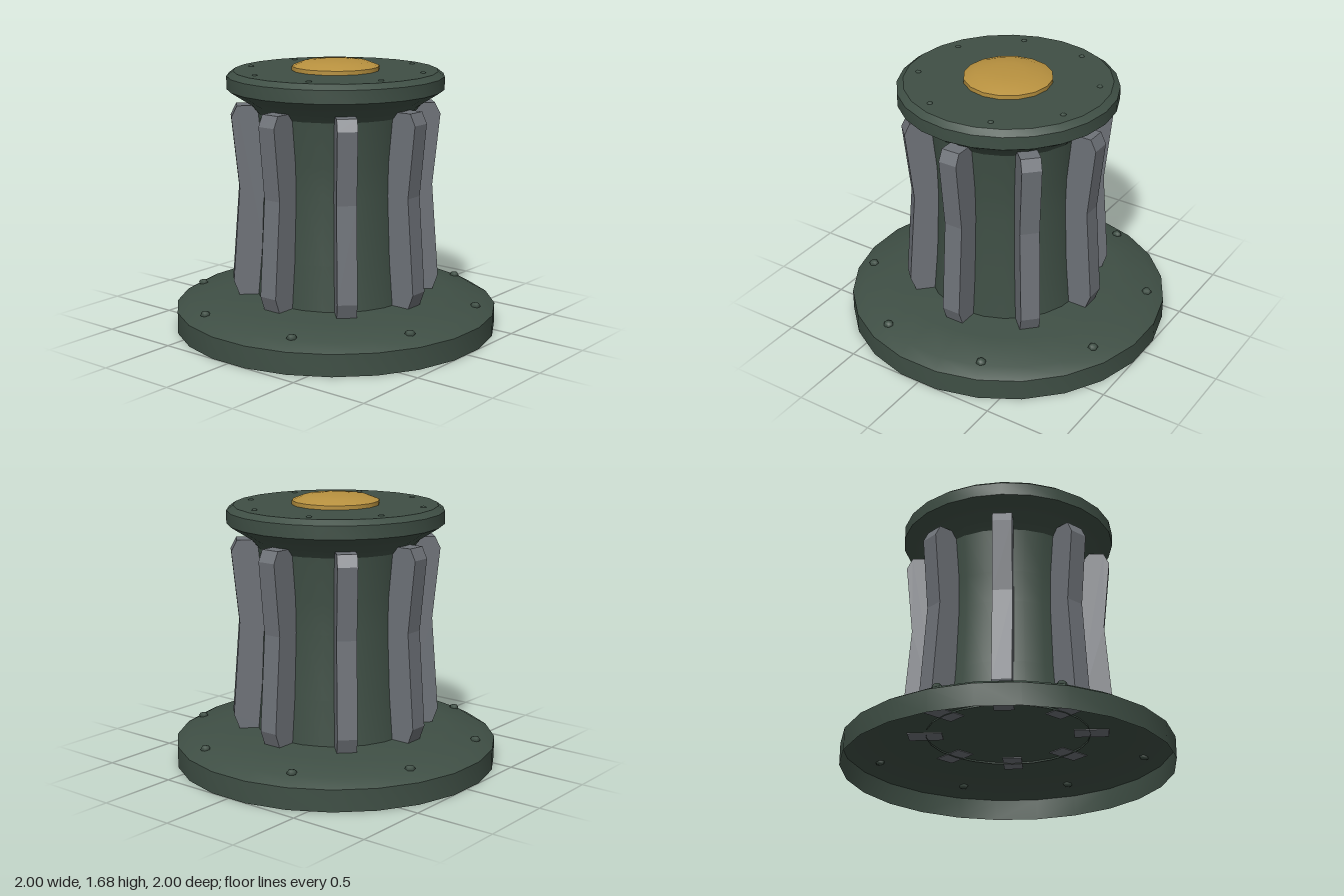
import * as THREE from 'three';
import { toCreasedNormals } from 'three/addons/utils/BufferGeometryUtils.js';

const green = new THREE.MeshStandardMaterial({ color: 0x3f4f45, side: THREE.DoubleSide });
green.name = 'dark green iron';
const grey = new THREE.MeshStandardMaterial({ color: 0x6e7278 });
grey.name = 'grey steel';
const gold = new THREE.MeshStandardMaterial({ color: 0xb8913f });
gold.name = 'brass';

// Turned part from [radius, height] points, listed bottom to top
function turned(name, points, sides, material, turn = 0) {
  const profile = points.map(([r, y]) => new THREE.Vector2(r, y));
  const geometry = toCreasedNormals(new THREE.LatheGeometry(profile, sides), 0.55);
  const mesh = new THREE.Mesh(geometry, material);
  mesh.name = name;
  mesh.rotation.y = turn;
  return mesh;
}

// Eight copies around the axis
function ring(name, geometry, material, radius, y, offset) {
  const group = new THREE.Group();
  group.name = name + 's';
  for (let i = 0; i < 8; i++) {
    const angle = offset + (i * Math.PI) / 4;
    const mesh = new THREE.Mesh(geometry, material);
    mesh.name = name;
    mesh.position.set(Math.cos(angle) * radius, y, -Math.sin(angle) * radius);
    mesh.rotation.y = angle;
    group.add(mesh);
  }
  return group;
}

export function createModel() {
  const model = new THREE.Group();
  model.name = 'capstan';

  // Hollow flared base, open underneath
  model.add(turned('base', [[1.008, 0], [1.008, 0.135], [0.93, 0.178], [0.71, 0.22], [0, 0.222]],
    24, green, Math.PI / 24));

  // Slightly waisted drum
  model.add(turned('drum', [[0.5, 0.21], [0.475, 0.5], [0.458, 0.9], [0.462, 1.1], [0.49, 1.38]], 24, green));

  // Crown with flared underside
  model.add(turned('crown', [[0.49, 1.37], [0.53, 1.42], [0.6, 1.465], [0.67, 1.51], [0.67, 1.59],
    [0.63, 1.62], [0, 1.62]], 24, green));

  // Domed brass cap
  model.add(turned('cap', [[0.27, 1.615], [0.27, 1.645], [0.2, 1.672], [0.1, 1.682], [0, 1.685]], 16, gold));

  // Whelps: waisted ribs standing around the drum
  const side = new THREE.Shape([[0.4, 0.216], [0.61, 0.216], [0.645, 0.31], [0.6, 0.9], [0.645, 1.345],
    [0.61, 1.415], [0.4, 1.415]].map(([x, y]) => new THREE.Vector2(x, y)));
  const whelp = new THREE.ExtrudeGeometry(side, { depth: 0.12, bevelEnabled: false });
  whelp.translate(0, 0, -0.06);
  model.add(ring('whelp', whelp, grey, 0, 0, 0));

  // Rivets on base and crown
  const baseRivet = new THREE.SphereGeometry(0.032, 6, 4).scale(1, 0.7, 1);
  model.add(ring('baseRivet', baseRivet, green, 0.9, 0.187, Math.PI / 8));
  const crownRivet = new THREE.SphereGeometry(0.02, 6, 4).scale(1, 0.6, 1);
  model.add(ring('crownRivet', crownRivet, green, 0.55, 1.618, Math.PI / 8));

  return model;
}
